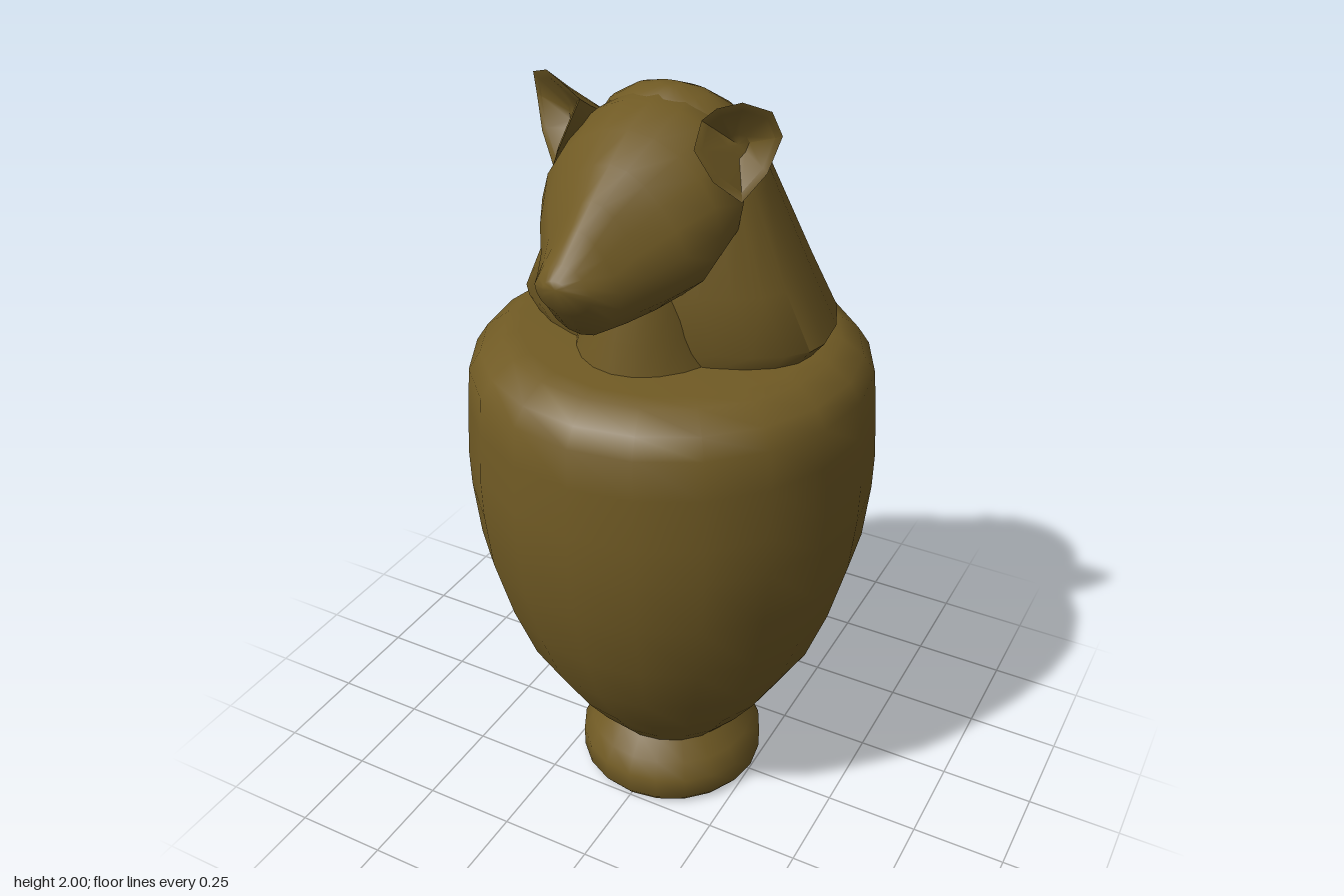
import * as THREE from 'three';
import { toCreasedNormals } from 'three/addons/utils/BufferGeometryUtils.js';

const bronze = new THREE.MeshStandardMaterial({ color: 0x705a24 });
bronze.name = 'dark bronze';

// Skin a list of equal-length rings, closing both ends with a fan.
function loft(rings, crease = 0.9) {
  const n = rings[0].length;
  const centre = ring => [0, 1, 2].map(k => ring.reduce((s, p) => s + p[k], 0) / n);
  const points = [...rings.flat(), centre(rings[0]), centre(rings.at(-1))];
  const first = n * rings.length, last = first + 1, end = n * (rings.length - 1);
  const index = [];
  for (let j = 0; j < n; j++) {
    const k = (j + 1) % n;
    for (let i = 0; i < rings.length - 1; i++) {
      const a = i * n, b = a + n;
      index.push(a + j, b + j, a + k, a + k, b + j, b + k);
    }
    index.push(first, j, k, last, end + k, end + j);
  }
  const geo = new THREE.BufferGeometry();
  geo.setAttribute('position', new THREE.Float32BufferAttribute(points.flat(), 3));
  geo.setIndex(index);
  return toCreasedNormals(geo, crease);
}

function ring(n, fn) {
  return Array.from({ length: n }, (_, j) => {
    const a = (j / n) * Math.PI * 2;
    return fn(Math.cos(a), Math.sin(a));
  });
}

function part(name, geo) {
  const mesh = new THREE.Mesh(geo, bronze);
  mesh.name = name;
  return mesh;
}

// Upright body: each row is y, half width, depth behind, depth in front.
const upright = rows => loft(rows.map(([y, w, back, front]) =>
  ring(24, (c, s) => [c * w, y, s * (s > 0 ? front : back)])));

export function createModel() {
  const model = new THREE.Group();
  model.name = 'animalHeadedJar';

  // Jar with its foot and rounded shoulder
  const profile = [
    [0, 0], [0.24, 0], [0.255, 0.02], [0.255, 0.08], [0.23, 0.125], [0.19, 0.175],
    [0.245, 0.24], [0.31, 0.33], [0.4, 0.48], [0.455, 0.63], [0.5, 0.8], [0.515, 0.95],
    [0.517, 1.05], [0.508, 1.18], [0.5, 1.28], [0.47, 1.325], [0.415, 1.365], [0.37, 1.372], [0, 1.372],
  ].map(([x, y]) => new THREE.Vector2(x, y));
  model.add(part('jar', toCreasedNormals(new THREE.LatheGeometry(profile, 20), 0.9)));

  // Draped headdress forming the lid
  model.add(part('headdress', upright([
    [1.36, 0.36, 0.37, 0.19], [1.41, 0.4, 0.41, 0.2], [1.55, 0.333, 0.34, 0.22],
    [1.76, 0.24, 0.235, 0.16], [1.83, 0.213, 0.19, 0.14], [1.92, 0.15, 0.105, 0.11],
    [1.955, 0.09, 0.05, 0.08], [1.97, 0.03, 0.01, 0.03],
  ])));

  // Chest between the side folds
  model.add(part('chest', upright([
    [1.36, 0.21, 0.1, 0.3], [1.45, 0.18, 0.1, 0.285], [1.56, 0.17, 0.1, 0.265],
  ])));

  // Head and muzzle: z, half width, top, bottom, narrowing of the upper side
  const sections = [
    [-0.05, 0.12, 1.955, 1.66, 0], [0.0, 0.19, 1.968, 1.6, 0], [0.1, 0.23, 1.955, 1.56, 0],
    [0.2, 0.228, 1.92, 1.525, 0.1], [0.28, 0.185, 1.87, 1.52, 0.3], [0.36, 0.133, 1.815, 1.52, 0.42],
    [0.42, 0.105, 1.77, 1.53, 0.42], [0.485, 0.07, 1.72, 1.605, 0.3], [0.515, 0.03, 1.695, 1.655, 0],
  ];
  model.add(part('head', loft(sections.map(([z, w, top, bottom, pinch]) => {
    const mid = top * 0.5 + bottom * 0.5, h = (top - bottom) / 2;
    return ring(20, (c, s) => [c * w * (1 - pinch * Math.max(0, -s)), mid - s * h, z]);
  }), 1.0)));

  // Cupped ears
  const rim = [
    [0.15, 1.95, 0.15], [0.19, 1.985, 0.16], [0.24, 2.0, 0.14], [0.295, 1.98, 0.11],
    [0.308, 1.92, 0.08], [0.285, 1.84, 0.1], [0.24, 1.775, 0.13], [0.195, 1.83, 0.18], [0.155, 1.9, 0.195],
  ];
  const toward = (goal, t) => rim.map(p => p.map((v, k) => v + (goal[k] - v) * t));
  const earRings = [
    toward([0.14, 1.86, 0.0], 0.75), toward([0.16, 1.86, 0.0], 0.35), rim,
    toward([0.22, 1.89, 0.1], 0.18), toward([0.2, 1.88, 0.07], 0.75),
  ];
  for (const side of [1, -1]) {
    const rings = earRings.map(r => {
      const placed = r.map(([x, y, z]) => [x * side, y, z]);
      return side > 0 ? placed : placed.reverse();
    });
    model.add(part(side > 0 ? 'leftEar' : 'rightEar', loft(rings)));
  }

  return model;
}
